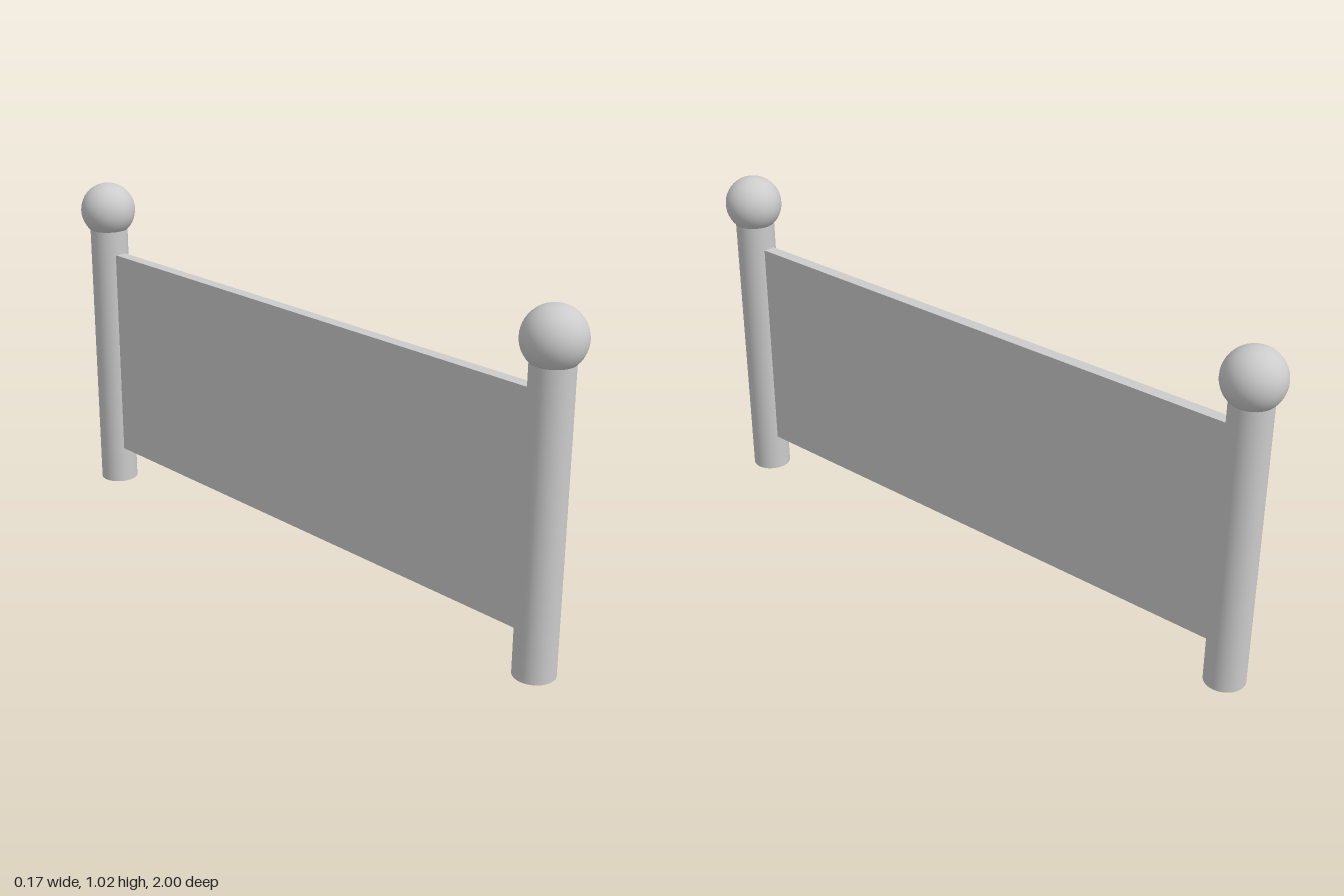
import * as THREE from 'three';

const POST_Z = 0.913;
const POST_RADIUS = 0.06;
const POST_HEIGHT = 0.88;
const BALL_RADIUS = 0.087;
const BALL_Y = 0.936;
const PANEL_BOTTOM = 0.12;
const PANEL_TOP = 0.797;
const PANEL_THICKNESS = 0.037;

export function createModel() {
  const model = new THREE.Group();
  model.name = 'panelBetweenPosts';
  const material = new THREE.MeshStandardMaterial({ color: 0xcccccc });

  function addPart(parent, name, geometry, y) {
    const mesh = new THREE.Mesh(geometry, material);
    mesh.name = name;
    mesh.position.y = y;
    parent.add(mesh);
  }

  // Round posts with ball finials, one at each end
  const postGeometry = new THREE.CylinderGeometry(POST_RADIUS, POST_RADIUS, POST_HEIGHT, 32);
  const ballGeometry = new THREE.SphereGeometry(BALL_RADIUS, 32, 24);
  for (const [name, side] of [['frontPost', 1], ['backPost', -1]]) {
    const post = new THREE.Group();
    post.name = name;
    post.position.z = side * POST_Z;
    addPart(post, 'shaft', postGeometry, POST_HEIGHT / 2);
    addPart(post, 'ballFinial', ballGeometry, BALL_Y);
    model.add(post);
  }

  // Flat panel whose ends are set into the posts
  const panelHeight = PANEL_TOP - PANEL_BOTTOM;
  const panelGeometry = new THREE.BoxGeometry(PANEL_THICKNESS, panelHeight, POST_Z * 2);
  addPart(model, 'panel', panelGeometry, PANEL_BOTTOM + panelHeight / 2);

  return model;
}
